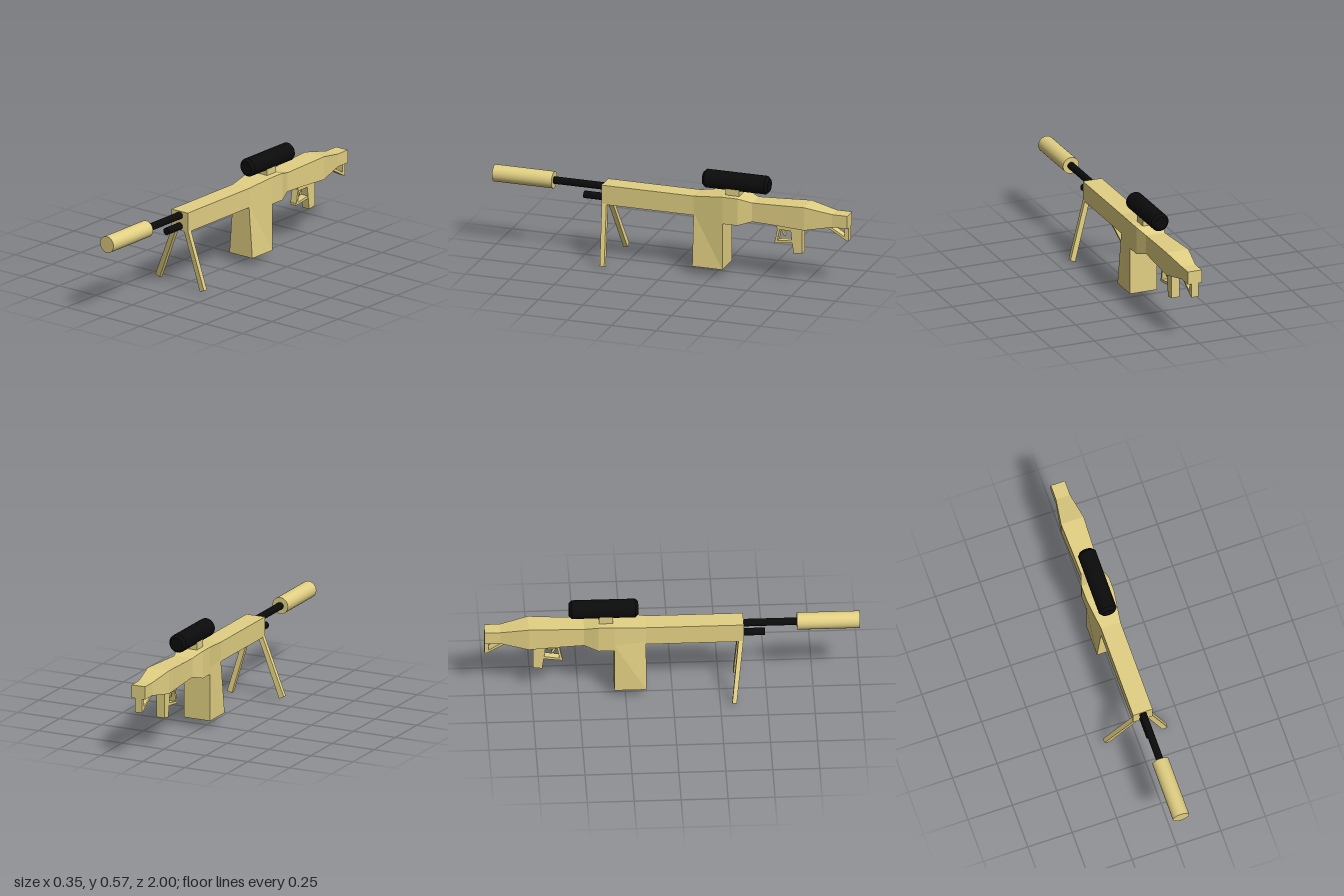
import * as THREE from 'three';

const CX = 0.026; // the gun's own centre line

const tan = new THREE.MeshStandardMaterial({ color: 0xe2d083 });
tan.flatShading = true;
const tanSmooth = new THREE.MeshStandardMaterial({ color: 0xe2d083 });
const black = new THREE.MeshStandardMaterial({ color: 0x0b0b0c });

// Closed solid through a row of equal-sized rings of [x, y, z] points
function loft(rings) {
  const n = rings[0].length;
  const tris = [];
  const quad = (a, b, c, d) => tris.push([a, b, c], [a, c, d]);
  for (let r = 0; r < rings.length - 1; r++) {
    for (let i = 0; i < n; i++) {
      const j = (i + 1) % n;
      quad(rings[r][i], rings[r][j], rings[r + 1][j], rings[r + 1][i]);
    }
  }
  const last = rings[rings.length - 1];
  for (let i = 1; i < n - 1; i++) {
    tris.push([rings[0][0], rings[0][i + 1], rings[0][i]]);
    tris.push([last[0], last[i], last[i + 1]]);
  }
  // turn the faces outward when the rings run the other way
  let volume = 0;
  const [a, b, c] = [0, 1, 2].map(() => new THREE.Vector3());
  for (const t of tris) {
    a.set(...t[0]); b.set(...t[1]); c.set(...t[2]);
    volume += a.dot(b.cross(c));
  }
  if (volume < 0) tris.forEach((t) => t.reverse());
  const g = new THREE.BufferGeometry();
  g.setAttribute('position', new THREE.Float32BufferAttribute(tris.flat(2), 3));
  g.computeVertexNormals();
  return g;
}

// Side outline of [z, y] points given a width across x
const plate = (pts, w) =>
  loft([-w / 2, w / 2].map((dx) => pts.map(([z, y]) => [CX + dx, y, z])));

// Rectangle across the gun at one z
const section = ([z, hw, y0, y1]) =>
  [[CX - hw, y0, z], [CX + hw, y0, z], [CX + hw, y1, z], [CX - hw, y1, z]];

// Level rectangle: x range, y, z range
const level = (x0, x1, y, z0, z1) =>
  [[x0, y, z0], [x1, y, z0], [x1, y, z1], [x0, y, z1]];

export function createModel() {
  const group = new THREE.Group();
  const add = (name, geometry, material = tan) => {
    const mesh = new THREE.Mesh(geometry, material);
    mesh.name = name;
    group.add(mesh);
    return mesh;
  };
  const rod = (name, r, y, z0, z1, material) => {
    const g = new THREE.CylinderGeometry(r, r, z1 - z0, 32).rotateX(Math.PI / 2);
    g.translate(CX, y, (z0 + z1) / 2);
    return add(name, g, material);
  };

  // Receiver and stock: [z, half width, bottom, top]
  add('body', loft([
    [0.38, 0.055, 0.326, 0.434],
    [-0.14, 0.055, 0.326, 0.434],
    [-0.31, 0.078, 0.305, 0.456],
    [-0.395, 0.078, 0.305, 0.456],
    [-0.47, 0.054, 0.328, 0.434],
    [-0.6, 0.058, 0.324, 0.439],
    [-0.765, 0.064, 0.317, 0.446],
    [-0.915, 0.04, 0.345, 0.417],
    [-1, 0.04, 0.345, 0.417],
  ].map(section)));

  // Magazine, flaring towards the bottom and the rear
  add('magazine', loft([
    [[CX - 0.055, 0.34, -0.14], [CX + 0.055, 0.34, -0.14],
      [CX + 0.078, 0.34, -0.31], [CX - 0.078, 0.34, -0.31]],
    level(CX - 0.078, CX + 0.078, 0.045, -0.14, -0.31),
  ]));

  // Barrel, lower rod and suppressor
  rod('barrel', 0.02, 0.41, 0.36, 0.68, black);
  rod('lowerRod', 0.02, 0.35, 0.36, 0.495, black);
  rod('suppressor', 0.046, 0.411, 0.665, 1, tanSmooth);

  // Scope with bevelled ends, on its mount
  const profile = [[0, 0], [0.036, 0], [0.036, 0], [0.05, 0.016], [0.05, 0.016],
    [0.05, 0.354], [0.05, 0.354], [0.036, 0.37], [0.036, 0.37], [0, 0.37]];
  const scope = new THREE.LatheGeometry(profile.map((p) => new THREE.Vector2(...p)), 32);
  scope.rotateX(Math.PI / 2).translate(CX + 0.002, 0.525, -0.55);
  add('scope', scope, black);
  add('scopeMount', plate([[-0.315, 0.45], [-0.39, 0.45], [-0.39, 0.5], [-0.315, 0.5]], 0.078));

  // Bipod legs, spread outward and slightly back
  add('rightBipodLeg', loft([
    level(-0.029, 0.0, 0.33, 0.378, 0.352),
    [[-0.175, 0.027, 0.336], [-0.147, 0.013, 0.336],
      [-0.147, 0.013, 0.312], [-0.175, 0.027, 0.312]],
  ]));
  add('leftBipodLeg', loft([
    level(0.052, 0.081, 0.33, 0.378, 0.352),
    [[0.145, 0, 0.357], [0.173, 0.01, 0.357],
      [0.173, 0.01, 0.332], [0.145, 0, 0.332]],
  ]));

  // Grip, trigger and its guard
  add('grip', plate([[-0.67, 0.335], [-0.74, 0.335], [-0.74, 0.17], [-0.692, 0.163]], 0.046));
  add('triggerHousing', plate([[-0.59, 0.335], [-0.69, 0.335], [-0.69, 0.29], [-0.6, 0.29]], 0.046));
  add('trigger', plate([[-0.613, 0.295], [-0.626, 0.295], [-0.645, 0.257], [-0.633, 0.253]], 0.018));
  add('guardFront', plate([[-0.6, 0.295], [-0.613, 0.295], [-0.598, 0.215], [-0.584, 0.21]], 0.04));
  add('guardBottom', plate([[-0.584, 0.21], [-0.584, 0.222], [-0.69, 0.24], [-0.69, 0.224]], 0.04));

  // Butt foot with its diagonal brace
  add('buttFoot', plate([[-0.978, 0.35], [-1, 0.35], [-1, 0.268], [-0.978, 0.28]], 0.042));
  add('buttBrace', plate([[-0.87, 0.34], [-0.895, 0.342], [-0.99, 0.286], [-0.99, 0.271]], 0.042));

  return group;
}
